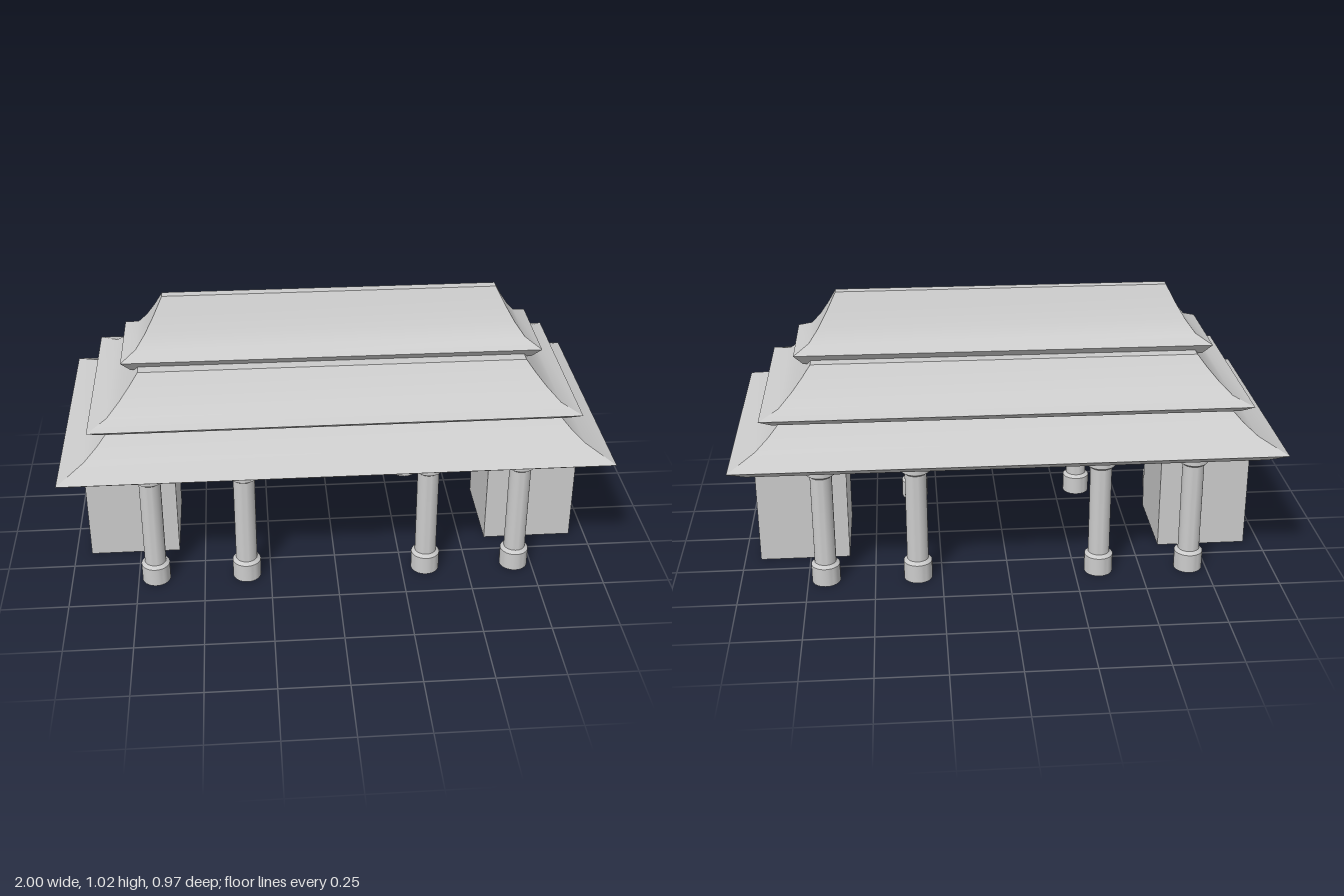
import * as THREE from 'three';
import { toCreasedNormals } from 'three/addons/utils/BufferGeometryUtils.js';

const material = new THREE.MeshStandardMaterial({ color: 0xcccccc });

// Hipped shell: each profile point is [half depth, height]; half width = half depth + extra.
// Smooth groups: bottom cap, sloping fascia, curved roof, top cap; hips stay sharp.
function roofGeometry(profile, extra) {
  const pos = [], index = [];
  const corners = ([d, y]) =>
    [[-1, 1], [1, 1], [1, -1], [-1, -1]].map(([sx, sz]) => [sx * (d + extra), y, sz * d]);
  const rings = profile.map(corners);

  const strip = (rows) => {
    for (let side = 0; side < 4; side++) {
      const base = pos.length / 3;
      rows.forEach((r) => pos.push(...r[side], ...r[(side + 1) % 4]));
      for (let i = 0; i < rows.length - 1; i++) {
        const a = base + 2 * i;
        index.push(a, a + 1, a + 3, a, a + 3, a + 2);
      }
    }
  };
  const cap = (ring, up) => {
    const a = pos.length / 3;
    ring.forEach((p) => pos.push(...p));
    index.push(...(up ? [a, a + 1, a + 2, a, a + 2, a + 3] : [a, a + 2, a + 1, a, a + 3, a + 2]));
  };

  cap(rings[0], false);
  strip(rings.slice(0, 2));
  strip(rings.slice(1));
  cap(rings[rings.length - 1], true);

  const g = new THREE.BufferGeometry();
  g.setAttribute('position', new THREE.Float32BufferAttribute(pos, 3));
  g.setIndex(index);
  g.computeVertexNormals();
  return g;
}

export function createModel() {
  const group = new THREE.Group();
  const add = (name, geometry, x = 0, y = 0, z = 0) => {
    const mesh = new THREE.Mesh(geometry, material);
    mesh.name = name;
    mesh.position.set(x, y, z);
    group.add(mesh);
  };

  // Three stacked roofs with flared eaves
  add('lowerRoof', roofGeometry(
    [[0.425, 0.475], [0.485, 0.515], [0.39, 0.555], [0.345, 0.59], [0.303, 0.633], [0.28, 0.66]], 0.515));
  add('middleRoof', roofGeometry(
    [[0.335, 0.633], [0.378, 0.664], [0.31, 0.685], [0.264, 0.727], [0.228, 0.767], [0.197, 0.806]], 0.511));
  add('upperRoof', roofGeometry(
    [[0.14, 0.788], [0.172, 0.83], [0.117, 0.858], [0.083, 0.902], [0.05, 0.957], [0.017, 1.02]], 0.597));

  // Solid end rooms
  const room = new THREE.BoxGeometry(0.34, 0.475, 0.344);
  for (const s of [-1, 1]) add(s > 0 ? 'leftRoom' : 'rightRoom', room, s * 0.77, 0.2375, 0);

  // Columns with wide bases and capitals
  const profile = [
    [0, 0], [0.053, 0], [0.053, 0.072], [0.04, 0.083], [0.04, 0.434],
    [0.053, 0.444], [0.053, 0.475], [0, 0.475],
  ].map(([r, y]) => new THREE.Vector2(r, y));
  const column = toCreasedNormals(new THREE.LatheGeometry(profile, 32), 0.5);
  for (const z of [0.343, -0.343])
    for (const x of [-0.683, -0.34, 0.34, 0.683])
      add(z > 0 ? 'frontColumn' : 'backColumn', column, x, 0, z);

  return group;
}
